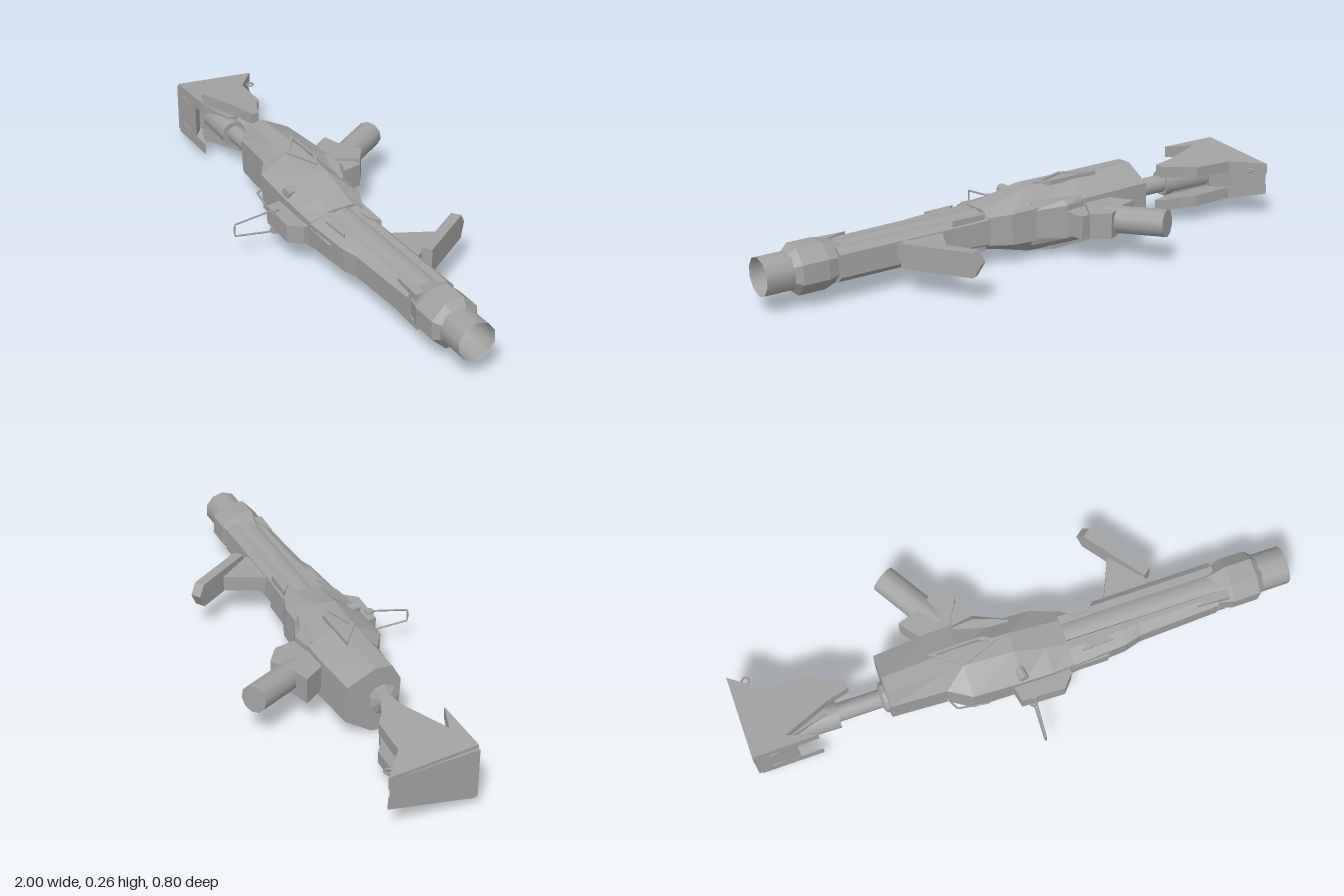
import * as THREE from 'three';

const steel = new THREE.MeshStandardMaterial({ color: 0xa2a2a2, side: THREE.DoubleSide });
steel.name = 'steel grey';

const CY = 0.132; // height of the barrel axis
const ROLL = 0.05; // the gun leans slightly about its own axis

function add(parent, name, geo, flat = true) {
  if (flat) {
    if (geo.index) geo = geo.toNonIndexed();
    geo.computeVertexNormals();
  }
  const m = new THREE.Mesh(geo, steel);
  m.name = name;
  parent.add(m);
  return m;
}

// Prism from an (x, z) outline between heights y0 and y1
function slab(points, y0, y1, hole) {
  const s = new THREE.Shape(points.map(([x, z]) => new THREE.Vector2(x, -z)));
  if (hole) s.holes.push(new THREE.Path(hole.map(([x, z]) => new THREE.Vector2(x, -z))));
  const g = new THREE.ExtrudeGeometry(s, { depth: y1 - y0, bevelEnabled: false });
  return g.rotateX(-Math.PI / 2).translate(0, y0, 0);
}

// Eight-sided body from stations [u, vMin, vMax, ridge0, ridge1, height, sideHeight]
function loft(stations) {
  const pos = [], idx = [], n = 8, last = (stations.length - 1) * n;
  for (const [u, a, b, r0, r1, h, s] of stations) {
    const ring = [[r0, h], [r1, h], [b, s], [b, -s], [r1, -h], [r0, -h], [a, -s], [a, s]];
    for (const [v, y] of ring) pos.push(u, y, v);
  }
  for (let i = 0; i < last; i += n) for (let k = 0; k < n; k++) {
    const a = i + k, b = i + (k + 1) % n;
    idx.push(a, b, a + n, b, b + n, a + n);
  }
  for (let k = 1; k < n - 1; k++) idx.push(0, k + 1, k, last, last + k, last + k + 1);
  const g = new THREE.BufferGeometry();
  g.setAttribute('position', new THREE.Float32BufferAttribute(pos, 3));
  g.setIndex(idx);
  return g;
}

// Lathe along the gun axis from [radius, u] points
function turned(profile, sides) {
  const g = new THREE.LatheGeometry(profile.map(([r, u]) => new THREE.Vector2(r, u)), sides, Math.PI / sides);
  return g.rotateZ(-Math.PI / 2);
}

// Rod between two points
function rod(a, b, r0, r1, sides) {
  const p = new THREE.Vector3(...a), q = new THREE.Vector3(...b), d = q.clone().sub(p);
  const g = new THREE.CylinderGeometry(r1, r0, d.length(), sides);
  g.rotateY(Math.PI / sides);
  g.applyQuaternion(new THREE.Quaternion().setFromUnitVectors(new THREE.Vector3(0, 1, 0), d.normalize()));
  return g.translate((p.x + q.x) / 2, (p.y + q.y) / 2, (p.z + q.z) / 2);
}

// Bent wire through points
function wire(points, r) {
  const path = new THREE.CurvePath();
  const v = points.map(p => new THREE.Vector3(...p));
  for (let i = 1; i < v.length; i++) path.add(new THREE.LineCurve3(v[i - 1], v[i]));
  return new THREE.TubeGeometry(path, 30, r, 5);
}

// The stock gets thinner towards its toe and leans with the gun
const stockHalf = z => 0.096 + z * 0.135;
function stockSlab(points, map) {
  const g = slab(points, 0, 1), p = g.attributes.position;
  for (let i = 0; i < p.count; i++) {
    const z = p.getZ(i);
    p.setY(i, CY + 0.003 - ROLL * z + map(p.getY(i), stockHalf(z)));
  }
  return g;
}

function addStock(root) {
  const stock = new THREE.Group();
  stock.name = 'stock';
  root.add(stock);
  const outline = [[-0.96, -0.27], [-0.86, -0.17], [-0.71, -0.145], [-0.67, -0.11], [-0.6, -0.07],
    [-0.6, -0.04], [-0.68, -0.03], [-0.86, 0.02], [-0.76, 0.07], [-0.985, 0.045]];
  for (const side of [1, -1]) {
    add(stock, 'stockCheekPlate', stockSlab(outline, (t, h) => side * h + (side > 0 ? t - 1 : t) * 0.042));
  }
  const inset = d => (t, h) => (2 * t - 1) * (h - d);
  add(stock, 'stockCover', stockSlab([[-0.985, 0.045], [-0.84, 0.06], [-0.87, 0.025], [-0.98, 0.01]], inset(0.004)));
  add(stock, 'buttBlock', stockSlab([[-0.96, -0.265], [-0.995, 0.045], [-0.92, 0.04], [-0.85, -0.08], [-0.875, -0.175]], inset(0.012)));
  add(stock, 'stockCore', stockSlab([[-0.95, -0.16], [-0.85, -0.07], [-0.7, -0.04], [-0.7, 0], [-0.95, 0.03]], inset(0.045)));
  add(stock, 'stockSocket', rod([-0.95, CY, -0.045], [-0.665, CY, 0], 0.05, 0.048, 12), false);
  // Sling ring and slots
  const ring = new THREE.TorusGeometry(0.013, 0.004, 5, 10);
  ring.rotateX(Math.PI / 2).translate(-0.905, CY + 0.055, -0.235);
  add(stock, 'slingRing', ring, false);
  for (const y of [0.19, 0.075]) {
    const slot = new THREE.BoxGeometry(0.06, 0.016, 0.008);
    slot.translate(-0.91, y, 0.052);
    add(stock, 'slingSlot', slot);
  }
}

function addBody(root) {
  const gun = new THREE.Group();
  gun.name = 'receiverAndBarrel';
  gun.position.set(0, CY, 0.077);
  gun.rotation.set(ROLL, -0.125, 0, 'YXZ');
  root.add(gun);

  add(gun, 'receiver', loft([
    [-0.492, -0.135, 0.06, -0.035, 0.024, 0.122, 0.066],
    [-0.29, -0.15, 0.07, -0.045, 0.02, 0.122, 0.068],
    [-0.21, -0.152, 0.12, -0.05, 0.016, 0.122, 0.068],
    [-0.03, -0.12, 0.125, -0.045, 0.025, 0.119, 0.06],
    [0.08, -0.115, 0.125, -0.045, 0.04, 0.09, 0.056],
    [0.16, -0.085, 0.12, -0.045, 0.045, 0.072, 0.05]]));
  add(gun, 'receiverLowerHump', loft([
    [-0.2, -0.15, -0.1, -0.14, -0.11, 0.078, 0.06],
    [-0.12, -0.163, -0.1, -0.145, -0.11, 0.078, 0.06],
    [-0.01, -0.116, -0.06, -0.105, -0.07, 0.078, 0.05]]));
  // Triangular frames on both flat faces
  const tri = [[-0.32, -0.06], [-0.12, -0.062], [-0.07, -0.035], [-0.21, 0.018]];
  const inner = tri.map(([x, z]) => [-0.19 + (x + 0.19) * 0.78, -0.035 + (z + 0.035) * 0.72]);
  add(gun, 'triangleFrame', slab(tri, 0.112, 0.128, inner));
  add(gun, 'triangleFrame', slab(tri, -0.128, -0.112, inner));

  // Barrel, muzzle collar and open muzzle
  add(gun, 'barrel', turned([[0.067, 0], [0.067, 0.8]], 16), false);
  add(gun, 'muzzleCollar', turned([[0.064, 0.7], [0.09, 0.78], [0.09, 0.875], [0.068, 0.9]], 8));
  add(gun, 'muzzle', turned([[0.069, 0.86], [0.069, 1.0]], 10), false);
  add(gun, 'muzzleBore', turned([[0.069, 1.0], [0.066, 0.99], [0.06, 0.9], [0.035, 0.86], [0, 0.85]], 10), false);
  add(gun, 'stockRod', turned([[0.033, -0.69], [0.033, -0.45]], 12), false);
  add(gun, 'rodSocket', turned([[0.034, -0.515], [0.055, -0.505], [0.055, -0.49], [0, -0.49]], 10));

  // Shrouds either side of the barrel
  add(gun, 'upperShroud', loft([
    [0.08, 0.02, 0.126, 0.035, 0.065, 0.068, 0.045],
    [0.36, 0.02, 0.108, 0.035, 0.06, 0.064, 0.042],
    [0.42, 0.02, 0.092, 0.035, 0.055, 0.062, 0.04],
    [0.72, 0.02, 0.08, 0.035, 0.05, 0.06, 0.04]]));
  add(gun, 'lowerShroud', loft([
    [0.1, -0.09, -0.02, -0.065, -0.035, 0.062, 0.045],
    [0.3, -0.08, -0.02, -0.06, -0.035, 0.06, 0.04],
    [0.74, -0.082, -0.02, -0.06, -0.035, 0.06, 0.04]]));
  add(gun, 'sightRail', new THREE.BoxGeometry(0.22, 0.056, 0.026).translate(0.18, 0, 0.11));

  // Scalloped panels gripping the barrel, on both faces
  for (const y of [0.042, -0.066]) {
    add(gun, 'frontPanel', slab([[0.17, -0.08], [0.3, -0.076], [0.27, -0.05], [0.22, -0.045]], y, y + 0.024));
    add(gun, 'rearPanel', slab([[0.2, 0.085], [0.32, 0.08], [0.29, 0.055], [0.24, 0.05]], y, y + 0.024));
    add(gun, 'collarTab', slab([[0.64, 0.065], [0.76, 0.07], [0.76, 0.03], [0.71, 0.04]], y, y + 0.024));
  }
}

function addGrips(root) {
  // Pistol grip with flange
  add(root, 'pistolGrip', rod([-0.2, 0.142, -0.13], [-0.314, 0.16, -0.379], 0.05, 0.05, 10), false);
  add(root, 'gripFlange', slab([[-0.34, -0.19], [-0.28, -0.2], [-0.18, -0.24], [-0.12, -0.19], [-0.2, -0.08], [-0.28, -0.08]], 0.095, 0.19));
  add(root, 'triggerBlock', slab([[-0.19, -0.175], [-0.1, -0.175], [-0.09, -0.06], [-0.19, -0.06]], 0.095, 0.18));

  // Angled foregrip blade with a pointed tip, and its web
  const blade = new THREE.Shape([[-0.045, 0], [0.045, 0], [0.045, 0.262], [0.006, 0.29], [-0.045, 0.262]]
    .map(p => new THREE.Vector2(...p)));
  const bladeGeo = new THREE.ExtrudeGeometry(blade, { depth: 0.038, bevelEnabled: false });
  bladeGeo.translate(0, 0, -0.019);
  // blade width runs up, its length runs along the slope
  bladeGeo.applyMatrix4(new THREE.Matrix4().makeBasis(
    new THREE.Vector3(0, 1, 0), new THREE.Vector3(-0.48, 0, -0.877), new THREE.Vector3(-0.877, 0, 0.48)));
  add(root, 'foregrip', bladeGeo.translate(0.533, 0.145, 0.027));
  add(root, 'foregripWeb', slab([[0.435, -0.09], [0.53, 0.06], [0.34, 0.06]], 0.115, 0.172));
}

function addSight(root) {
  // Mount block with wire frame sight
  add(root, 'sightMount', slab([[-0.08, 0.18], [-0.075, 0.25], [0.08, 0.275], [0.125, 0.235], [0.13, 0.19]], 0.09, 0.157));
  add(root, 'sightFrame', wire([[-0.03, 0.16, 0.24], [-0.035, 0.157, 0.28], [-0.058, 0.137, 0.397],
    [-0.058, 0.092, 0.397], [-0.035, 0.08, 0.28], [-0.03, 0.078, 0.24]], 0.0035), false);
  for (const y of [0.082, 0.157]) {
    add(root, 'sightHinge', new THREE.CylinderGeometry(0.016, 0.016, 0.016, 10).translate(-0.03, y, 0.25), false);
  }
  for (const y of [0.203, 0.057]) {
    const knob = new THREE.CylinderGeometry(0.018, 0.018, 0.06, 10);
    knob.rotateX(Math.PI / 2).translate(-0.04, y, 0.165);
    add(root, 'sideKnob', knob);
  }
  // Carrying loop on the receiver
  add(root, 'carryLoop', wire([[-0.3, 0.09, 0.1], [-0.28, 0.09, 0.155], [-0.17, 0.09, 0.185], [-0.14, 0.09, 0.16]], 0.004), false);
}

export function createModel() {
  const root = new THREE.Group();
  root.name = 'blaster';
  addStock(root);
  addBody(root);
  addGrips(root);
  addSight(root);
  return root;
}
